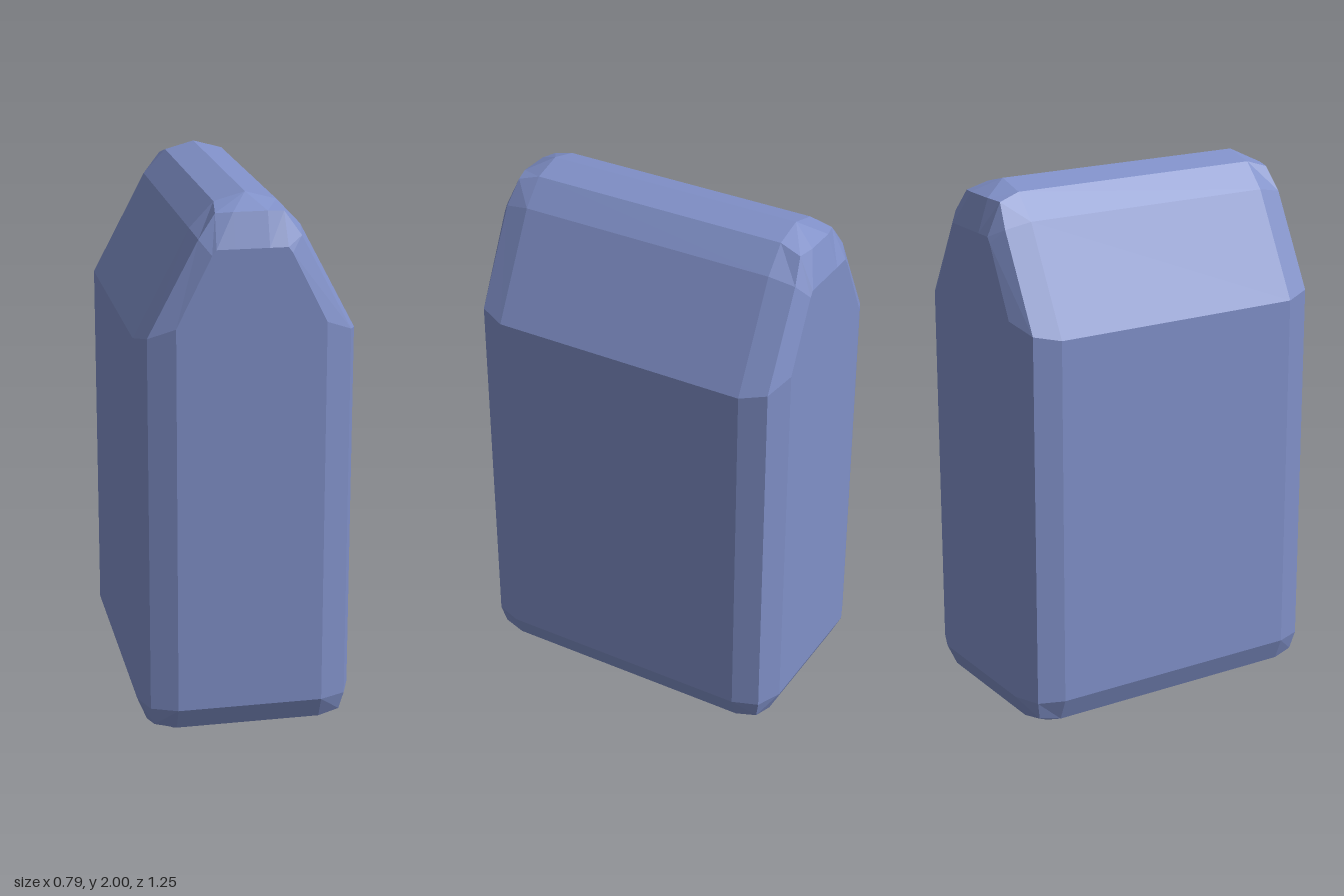
import * as THREE from 'three';

// Half cross-sections [x, y, z], from the ridge down the +x side to the base.
// Repeated points let neighbouring sections taper to a single corner.
const endFace = [[0.06, 1.83, 0.625], [0.125, 1.83, 0.625], [0.14, 1.81, 0.625], [0.265, 1.56, 0.625],
  [0.265, 0.13, 0.625], [0.265, 0.13, 0.625], [0.265, 0.13, 0.625]];
const bevel = [[0.06, 1.95, 0.585], [0.12, 1.945, 0.57], [0.18, 1.86, 0.585], [0.36, 1.52, 0.585],
  [0.36, 0.13, 0.585], [0.345, 0.06, 0.57], [0.265, 0.045, 0.585]];
const body = [[0, 2, 0.49], [0.11, 1.97, 0.49], [0.195, 1.88, 0.49], [0.395, 1.5, 0.49],
  [0.395, 0.13, 0.49], [0.36, 0.045, 0.49], [0.265, 0, 0.49]];

// Mirror a half section into a closed loop, on the front (1) or back (-1)
function ring(half, side) {
  const left = half.map(([x, y, z]) => [-x, y, z]).reverse();
  return [...half, ...left].map(([x, y, z]) => new THREE.Vector3(x, y, z * side));
}

function loft(rings) {
  const points = [];
  const tri = (a, b, c) => {
    if (new THREE.Triangle(a, b, c).getArea() > 1e-7) points.push(a, b, c);
  };
  const n = rings[0].length;
  for (let i = 0; i < rings.length - 1; i++) {
    for (let j = 0; j < n; j++) {
      const k = (j + 1) % n;
      const [p, q] = [rings[i], rings[i + 1]];
      tri(p[j], p[k], q[k]);
      tri(p[j], q[k], q[j]);
    }
  }
  // Flat front and back faces
  const front = rings[0], back = rings[rings.length - 1];
  for (let j = 1; j < n - 1; j++) {
    tri(front[0], front[j + 1], front[j]);
    tri(back[0], back[j], back[j + 1]);
  }
  const geometry = new THREE.BufferGeometry().setFromPoints(points);
  geometry.computeVertexNormals();
  return geometry;
}

export function createModel() {
  const group = new THREE.Group();
  group.name = 'beveledBlock';
  const material = new THREE.MeshStandardMaterial({ color: 0x8090c8, flatShading: true });
  const sections = [endFace, bevel, body];
  const rings = [
    ...sections.map((s) => ring(s, 1)),
    ...[...sections].reverse().map((s) => ring(s, -1)),
  ];
  const block = new THREE.Mesh(loft(rings), material);
  block.name = 'peakedBody';
  group.add(block);
  return group;
}
